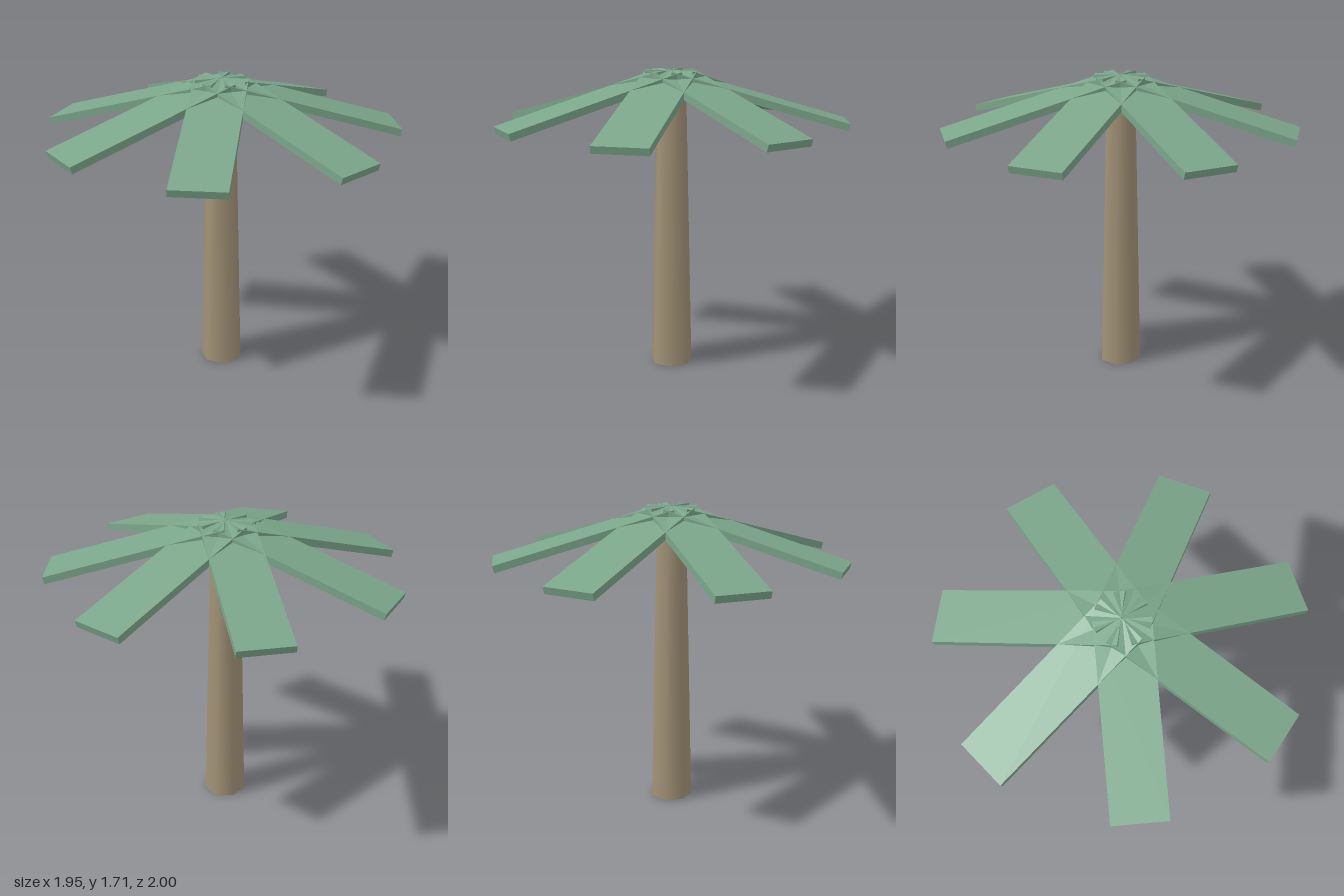
import * as THREE from 'three';

export function createModel() {
  const group = new THREE.Group();
  group.name = 'palmTree';
  const bark = new THREE.MeshStandardMaterial({ color: 0xa39377 });
  const leaf = new THREE.MeshStandardMaterial({ color: 0x7ba68a });
  const axisX = -0.0165; // trunk axis, offset so the uneven crown is centred

  // Tapered seven-sided trunk
  const trunkHeight = 1.675;
  const trunk = new THREE.Mesh(
    new THREE.CylinderGeometry(0.083, 0.12, trunkHeight, 7), bark);
  trunk.name = 'trunk';
  trunk.position.set(axisX, trunkHeight / 2, 0);
  group.add(trunk);

  // Crown of seven drooping plank fronds, hinged at the trunk axis
  const crown = new THREE.Group();
  crown.name = 'crown';
  crown.position.set(axisX, 1.695, 0);
  const length = 1.024, count = 7;
  const frondShape = new THREE.BoxGeometry(length, 0.041, 0.3)
    .translate(length / 2, 0, 0)
    .rotateZ(-0.278);
  for (let i = 0; i < count; i++) {
    const frond = new THREE.Mesh(frondShape, leaf);
    frond.name = `frond${i + 1}`;
    frond.rotation.y = (i / count) * Math.PI * 2;
    crown.add(frond);
  }
  group.add(crown);
  return group;
}
